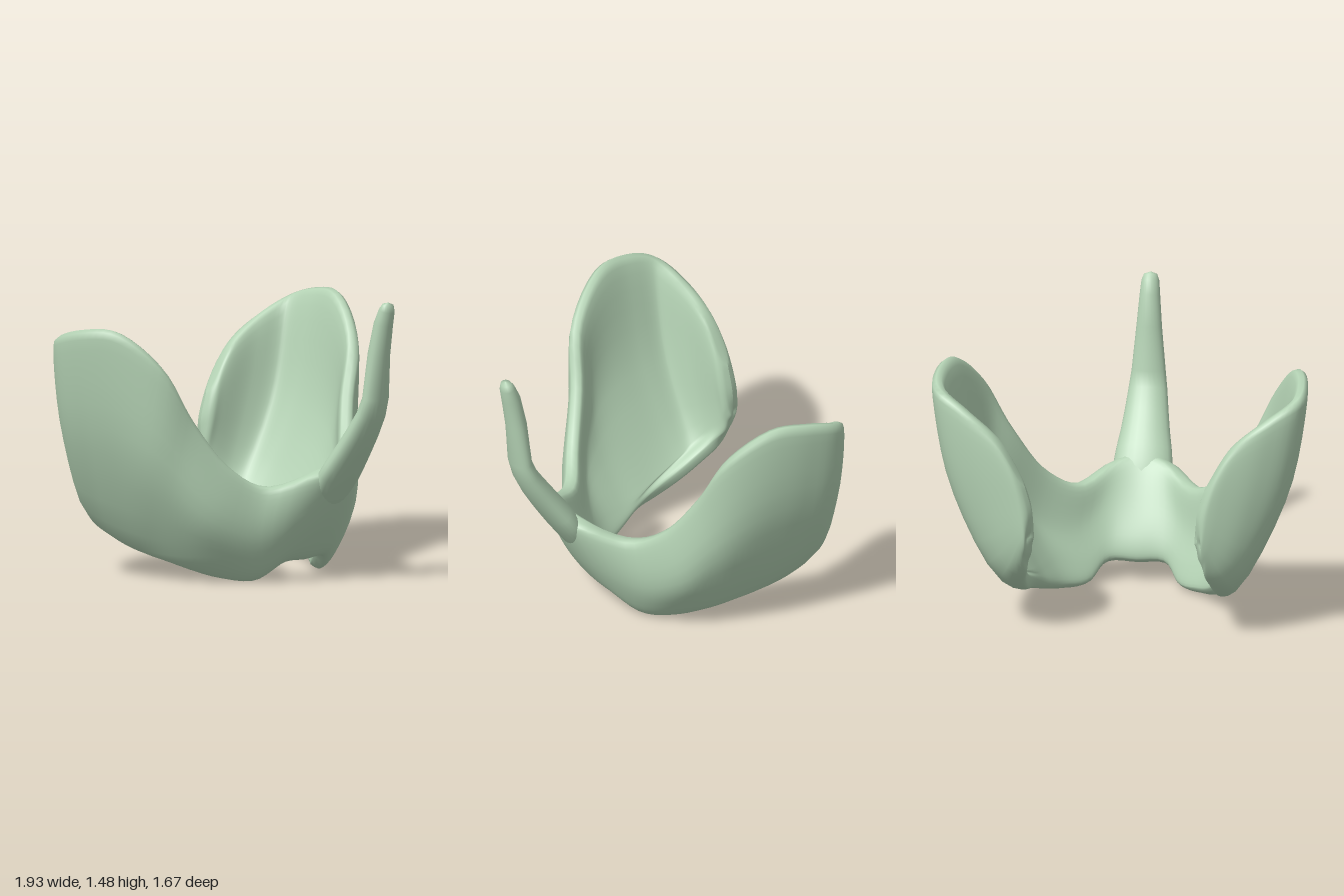
import * as THREE from 'three';

const V = (x, y, z) => new THREE.Vector3(x, y, z);

// Smooth skin over closed rings; along x around must point outward
function skin(rings) {
  const n = rings[0].length, pos = [], idx = [];
  rings.forEach(r => r.forEach(p => pos.push(p.x, p.y, p.z)));
  for (let i = 0; i < rings.length - 1; i++)
    for (let j = 0; j < n; j++) {
      const k = (j + 1) % n, a = i * n + j, b = a + n, c = (i + 1) * n + k, d = i * n + k;
      idx.push(a, b, c, a, c, d);
    }
  const g = new THREE.BufferGeometry();
  g.setAttribute('position', new THREE.Float32BufferAttribute(pos, 3));
  g.setIndex(idx);
  g.computeVertexNormals();
  return g;
}

// Lip, low, middle and top rows of the wall, from the front centre round to the back flange
const lip = [[0, .1, .22], [.15, .1, .21], [.24, .01, .12], [.35, .02, 0], [.42, .065, -.14], [.46, .12, -.26],
  [.475, .17, -.39], [.475, .225, -.51], [.47, .285, -.61], [.455, .35, -.69], [.44, .43, -.765], [.43, .53, -.79]];
const low = [[0, .2, .275], [.15, .2, .265], [.28, .11, .16], [.44, .16, .04], [.49, .15, -.12], [.51, .16, -.27],
  [.535, .19, -.4], [.555, .24, -.53], [.56, .3, -.635], [.53, .37, -.71], [.47, .5, -.77], [.425, .59, -.79]];
const middle = [[0, .34, .36], [.16, .34, .335], [.34, .27, .2], [.54, .36, .085], [.66, .52, -.03], [.74, .63, -.14],
  [.785, .7, -.3], [.805, .72, -.46], [.8, .73, -.61], [.68, .74, -.705], [.53, .73, -.76], [.425, .67, -.785]];
const top = [[0, .6, .5], [.14, .57, .445], [.31, .5, .25], [.47, .61, .14], [.62, .85, .03], [.765, 1.13, -.05],
  [.89, 1.32, -.26], [.94, 1.32, -.44], [.93, 1.27, -.605], [.79, 1.18, -.695], [.61, 1.04, -.75], [.46, .8, -.78]];

// Mirror a half row into one full curve from right to left
function rail(half) {
  const left = half.map(p => V(...p));
  const right = left.slice(1).reverse().map(p => V(-p.x, p.y, p.z));
  return new THREE.CatmullRomCurve3([...right, ...left], false, 'centripetal');
}

function wallGeometry() {
  const rails = [lip, low, middle, top].map(rail);
  // Upright curve of the mid surface at s, from -1 to 1 around
  const upright = s => new THREE.CatmullRomCurve3(
    rails.map(r => r.getPoint(THREE.MathUtils.clamp((s + 1) / 2, 0, 1))), false, 'centripetal');
  const rings = [], U = 120, N = 40, e = .004;
  for (let i = 0; i <= U; i++) {
    const w = i / U * 2 - 1, s = w * (1.3 - .3 * w * w);
    const [here, before, after] = [s, Math.max(-1, s - e), Math.min(1, s + e)].map(upright);
    const end = Math.min(1, (1 - Math.abs(s)) * 11 / .5);
    const taper = Math.sqrt(Math.max(0, 1 - (1 - end) ** 2));
    const centre = .012 * Math.exp(-s * s * 30);
    const ring = [];
    for (let j = 0; j < N; j++) {
      const a = j / N * Math.PI * 2, v = (1 - Math.cos(a)) / 2;
      const du = after.getPoint(v).sub(before.getPoint(v));
      const dv = here.getPoint(Math.min(1, v + e)).sub(here.getPoint(Math.max(0, v - e)));
      const normal = du.cross(dv).normalize();
      const sn = j % (N / 2) ? Math.sin(a) : 0;
      // The inner side thickens toward the top
      const depth = (sn > 0 ? .056 : .046 + .02 * v) + centre;
      ring.push(here.getPoint(v).addScaledVector(normal, depth * taper * Math.sign(sn) * Math.sqrt(Math.abs(sn))));
    }
    rings.push(ring);
  }
  return skin(rings);
}

function prongGeometry() {
  // Each row: y, z, half width, half depth
  const rows = [[.3, .34, .06, .03], [.4, .4, .11, .052], [.48, .442, .14, .066], [.55, .485, .152, .071],
    [.61, .525, .143, .071], [.69, .58, .127, .068], [.78, .638, .113, .064], [.88, .695, .1, .056],
    [.97, .725, .088, .052], [1.2, .748, .066, .052],
    [1.36, .778, .053, .048], [1.43, .8, .046, .038], [1.46, .808, .034, .026], [1.472, .81, .001, .001]];
  const rings = rows.map(([y, z, w, d], i) => {
    const p = rows[Math.max(0, i - 1)], q = rows[Math.min(rows.length - 1, i + 1)];
    const t = V(0, q[0] - p[0], q[1] - p[1]).normalize();
    return Array.from({ length: 24 }, (_, j) => {
      const a = j / 24 * Math.PI * 2, k = d * Math.sin(a);
      return V(w * Math.cos(a), y - t.z * k, z + t.y * k);
    });
  });
  return skin(rings);
}

export function createModel() {
  const group = new THREE.Group();
  group.name = 'curvedLobes';
  const green = new THREE.MeshStandardMaterial({ color: 0xb4d2b4 });
  green.name = 'paleGreen';
  const add = (name, geometry) => {
    const mesh = new THREE.Mesh(geometry, green);
    mesh.name = name;
    group.add(mesh);
  };
  add('lobeWall', wallGeometry());
  add('frontProng', prongGeometry());
  return group;
}
